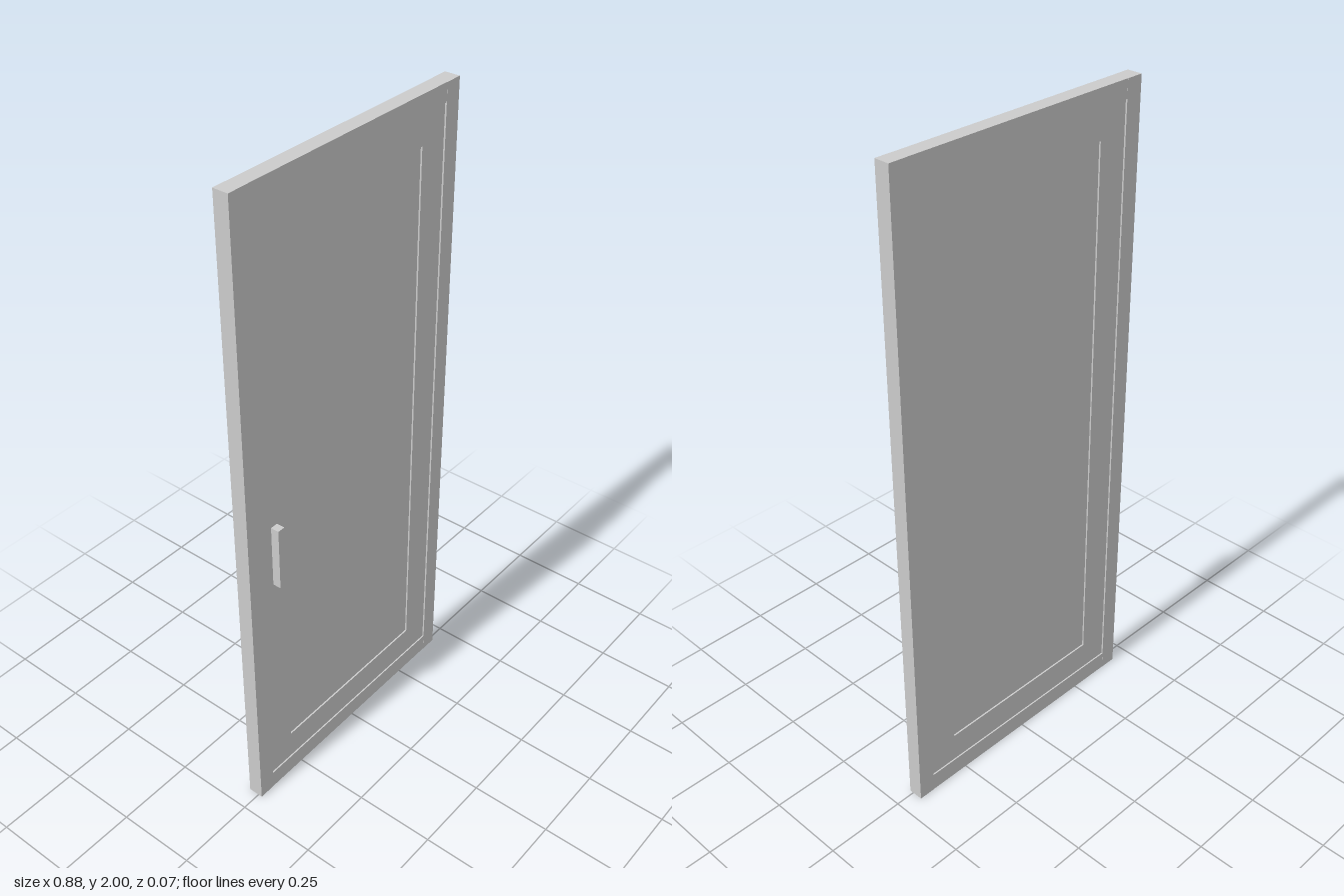
import * as THREE from 'three';

export function createModel() {
  const group = new THREE.Group();
  const material = new THREE.MeshStandardMaterial({ color: 0xcccccc });

  // Box given by its limits on each axis
  const slab = (name, [x0, x1], [y0, y1], [z0, z1]) => {
    const mesh = new THREE.Mesh(new THREE.BoxGeometry(x1 - x0, y1 - y0, z1 - z0), material);
    mesh.name = name;
    mesh.position.set((x0 + x1) / 2, (y0 + y1) / 2, (z0 + z1) / 2);
    group.add(mesh);
  };

  const outer = 0.4375, jamb = 0.384, stile = 0.29;
  const bottom = 0.058, top = 1.945;
  const frameZ = [-0.034, 0.013];
  const railZ = [-0.0335, 0.0125];
  const leafZ = [-0.029, 0.008];
  const panelZ = [-0.024, 0.003];

  // Upright members on both sides
  for (const [side, s] of [['left', 1], ['right', -1]]) {
    const span = (a, b) => (s > 0 ? [a, b] : [-b, -a]);
    slab(side + 'Jamb', span(jamb, outer), [0, 2], frameZ);
    slab(side + 'Stile', span(stile, jamb), [bottom, top], leafZ);
  }

  // Frame head and sill
  slab('frameHead', [-jamb, jamb], [top, 2], railZ);
  slab('frameSill', [-jamb, jamb], [0, bottom], railZ);

  // Door leaf rails and recessed panel
  slab('topRail', [-stile, stile], [1.855, top], leafZ);
  slab('bottomRail', [-stile, stile], [bottom, 0.15], leafZ);
  slab('panel', [-stile, stile], [0.15, 1.855], panelZ);

  // Pull handle on the right stile
  slab('handle', [-0.34, -0.316], [0.79, 0.99], [0.008, 0.034]);

  return group;
}
